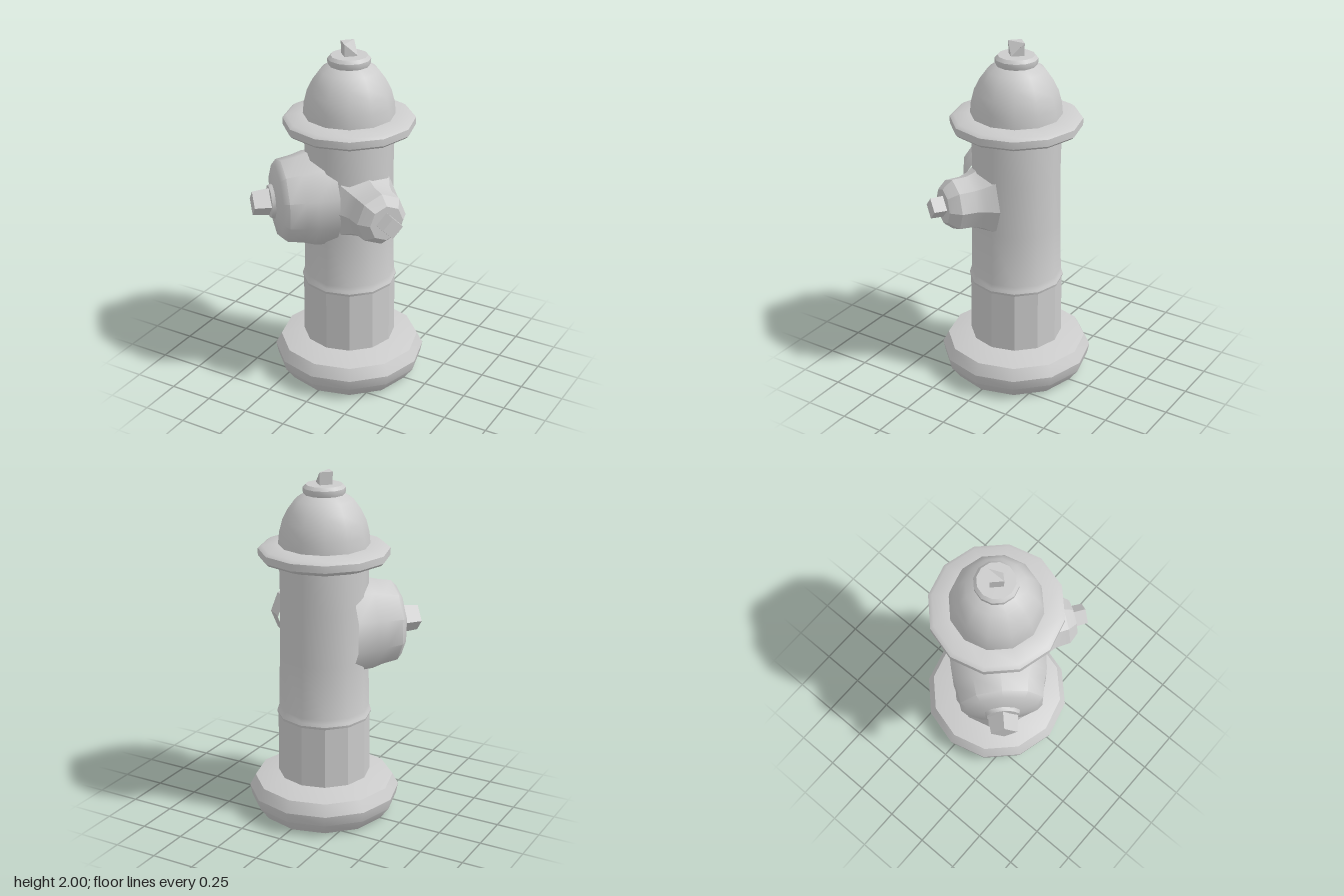
import * as THREE from 'three';
import { toCreasedNormals } from 'three/addons/utils/BufferGeometryUtils.js';

const material = new THREE.MeshStandardMaterial({ color: 0xcccccc });
const flatMaterial = new THREE.MeshStandardMaterial({ color: 0xcccccc, flatShading: true });

// Surface of revolution from [radius, height] pairs, listed bottom to top
function turned(name, profile, sides, crease) {
  const points = profile.map(([r, y]) => new THREE.Vector2(r, y));
  const geometry = toCreasedNormals(new THREE.LatheGeometry(points, sides), crease);
  const mesh = new THREE.Mesh(geometry, material);
  mesh.name = name;
  return mesh;
}

// Four-sided tapered nut standing on y = base
function squareNut(name, rTop, rBase, base, height) {
  const geometry = new THREE.CylinderGeometry(rTop, rBase, height, 4);
  geometry.translate(0, base + height / 2, 0);
  const mesh = new THREE.Mesh(geometry, flatMaterial);
  mesh.name = name;
  return mesh;
}

// Side outlet built along +y, then laid down and turned about the body
function outlet(name, angle, height, parts) {
  const axis = new THREE.Group();
  axis.add(...parts);
  axis.rotation.x = Math.PI / 2;
  const group = new THREE.Group();
  group.name = name;
  group.add(axis);
  group.rotation.y = angle;
  group.position.y = height;
  return group;
}

export function createModel() {
  const model = new THREE.Group();
  model.name = 'fireHydrant';
  const sides = 12, soft = 0.62;

  // Foot flange
  model.add(turned('base', [
    [0, 0.005], [0.37, 0.005], [0.422, 0.075], [0.434, 0.135],
    [0.4, 0.2], [0.25, 0.24], [0, 0.24],
  ], sides, soft));

  // Faceted lower barrel
  const lower = new THREE.Mesh(
    new THREE.CylinderGeometry(0.262, 0.264, 0.39, sides, 1, true), flatMaterial);
  lower.name = 'lowerBarrel';
  lower.position.y = 0.405;
  model.add(lower);

  // Rounded joint ring and upper barrel
  model.add(turned('upperBarrel', [
    [0.25, 0.585], [0.266, 0.592], [0.27, 0.607], [0.264, 0.622], [0.257, 0.645],
    [0.251, 0.95], [0.246, 1.25], [0.25, 1.5],
  ], sides, soft));

  // Bonnet flange
  model.add(turned('bonnetFlange', [
    [0.23, 1.475], [0.265, 1.485], [0.35, 1.515], [0.366, 1.53],
    [0.366, 1.57], [0.345, 1.585], [0.25, 1.595], [0, 1.595],
  ], sides, soft));

  // Dome and its collar
  model.add(turned('bonnetDome', [
    [0.255, 1.585], [0.248, 1.66], [0.23, 1.73], [0.2, 1.79],
    [0.16, 1.845], [0.11, 1.877],
  ], sides, soft));
  model.add(turned('domeCollar', [
    [0.1, 1.865], [0.112, 1.872], [0.118, 1.89], [0.118, 1.91],
    [0.102, 1.928], [0, 1.93],
  ], sides, soft));

  // Operating nut with one top corner sloped away
  const topNut = squareNut('operatingNut', 0.053, 0.05, 1.92, 0.08);
  const corners = topNut.geometry.attributes.position;
  for (let i = 0; i < corners.count; i++) {
    if (corners.getX(i) > 0.03) corners.setY(i, 1.932);
  }
  model.add(topNut);

  // Large pumper outlet, front right
  model.add(outlet('pumperOutlet', -Math.PI / 4, 1.115, [
    turned('pumperCap', [
      [0.28, 0.12], [0.27, 0.24], [0.252, 0.3], [0.236, 0.39], [0.205, 0.42],
      [0.1, 0.44], [0.092, 0.46], [0, 0.465],
    ], 10, 0.7),
    squareNut('pumperNut', 0.072, 0.085, 0.44, 0.115),
  ]));

  // Small hose outlet, front left
  model.add(outlet('hoseOutlet', 0.99, 1.115, [
    turned('hoseCap', [
      [0.21, 0.19], [0.17, 0.25], [0.152, 0.3], [0.148, 0.385],
      [0.112, 0.43], [0.1, 0.442], [0, 0.442],
    ], 8, 0.5),
    squareNut('hoseNut', 0.06, 0.064, 0.43, 0.085),
  ]));

  model.children.forEach((part) => { part.position.x -= 0.006; });
  return model;
}
